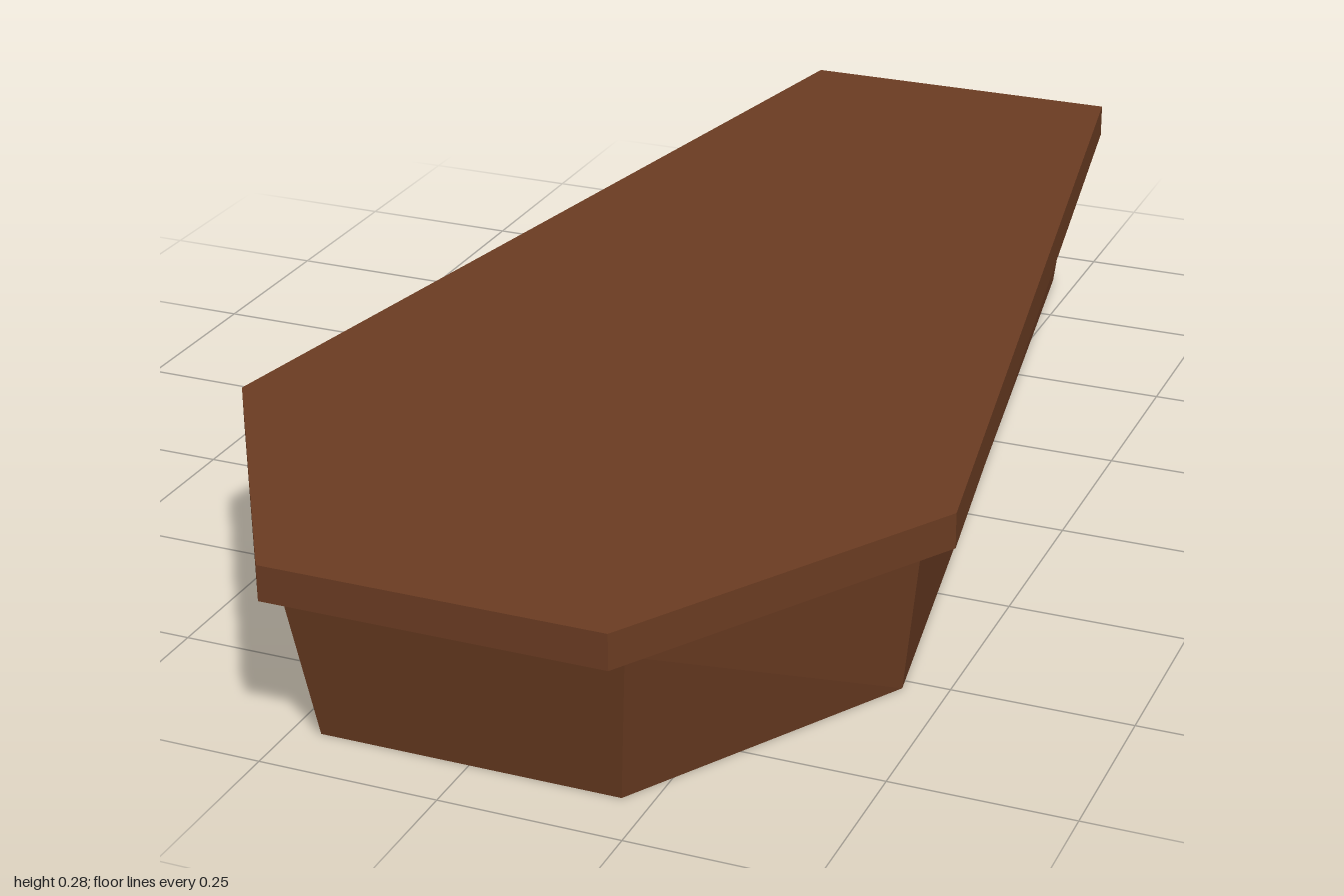
import * as THREE from 'three';

// Six-cornered ring at height y; each corner is [half width, z], from back to front
function ring(y, corners) {
  const right = corners.map(([x, z]) => [x, y, z]);
  const left = corners.map(([x, z]) => [-x, y, z]).reverse();
  return [...right, ...left];
}

// Closed solid through a stack of rings, lowest first, with flat faces
function loft(rings) {
  const n = rings[0].length;
  const last = (rings.length - 1) * n;
  const index = [];
  for (let r = 0; r < rings.length - 1; r++) {
    for (let i = 0; i < n; i++) {
      const a = r * n + i, b = r * n + (i + 1) % n;
      index.push(a, a + n, b + n, a, b + n, b);
    }
  }
  for (let i = 1; i < n - 1; i++) {
    index.push(0, i, i + 1);
    index.push(last, last + i + 1, last + i);
  }
  const geometry = new THREE.BufferGeometry();
  geometry.setAttribute('position', new THREE.Float32BufferAttribute(rings.flat(2), 3));
  geometry.setIndex(index);
  const flat = geometry.toNonIndexed();
  flat.computeVertexNormals();
  return flat;
}

export function createModel() {
  const group = new THREE.Group();
  group.name = 'coffin';
  const wood = new THREE.MeshStandardMaterial({ color: 0x6b3c22 });
  wood.name = 'brown wood';

  const add = (name, rings) => {
    const mesh = new THREE.Mesh(loft(rings), wood);
    mesh.name = name;
    group.add(mesh);
  };

  // Box flaring outwards towards the top
  const rim = [[0.23, -0.935], [0.465, 0.525], [0.235, 0.95]];
  add('box', [
    ring(0, [[0.21, -0.895], [0.44, 0.52], [0.21, 0.91]]),
    ring(0.225, rim),
  ]);

  // Overhanging lid with a slightly sloping underside
  const edge = [[0.252, -1], [0.515, 0.543], [0.236, 1]];
  add('lid', [ring(0.224, rim), ring(0.231, edge), ring(0.281, edge)]);

  return group;
}
